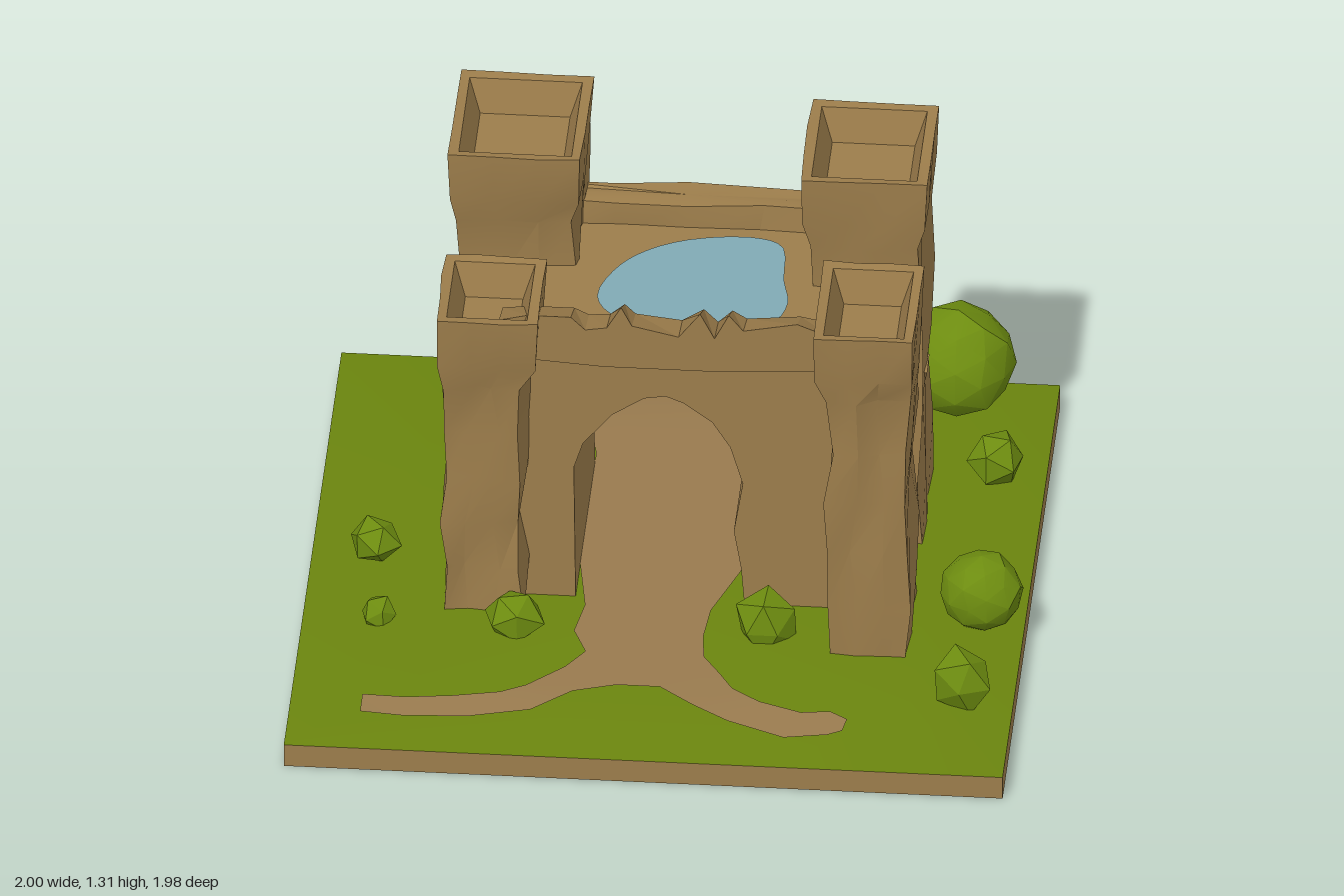
import * as THREE from 'three';
import { toCreasedNormals } from 'three/addons/utils/BufferGeometryUtils.js';

const mat = (name, color) => {
  const m = new THREE.MeshStandardMaterial({ color });
  m.name = name;
  return m;
};

// Repeatable noise in -1..1
function noise(n) {
  const s = Math.sin(n * 127.1 + 11.7) * 43758.5453;
  return (s - Math.floor(s)) * 2 - 1;
}

function meshFrom(positions, index) {
  const g = new THREE.BufferGeometry();
  g.setAttribute('position', new THREE.Float32BufferAttribute(positions, 3));
  g.setIndex(index);
  return toCreasedNormals(g, 0.45);
}

// Stack of rectangular rings [y, x0, x1, z0, z1, wobble], closed at the last ring
function loftRect(levels, seed = 1, n = 3) {
  const pos = [], idx = [], ring = 4 * n;
  levels.forEach(([y, x0, x1, z0, z1, w = 0], j) => {
    const c = [[x0, z1], [x1, z1], [x1, z0], [x0, z0]];
    for (let s = 0; s < 4; s++) {
      const a = c[s], b = c[(s + 1) % 4];
      for (let k = 0; k < n; k++) {
        const t = k / n, id = seed * 91 + j * 31 + s * 7 + k;
        pos.push(a[0] + (b[0] - a[0]) * t + w * noise(id),
          y + w * 0.6 * noise(id + 500),
          a[1] + (b[1] - a[1]) * t + w * noise(id + 900));
      }
    }
  });
  for (let j = 0; j < levels.length - 1; j++) {
    for (let i = 0; i < ring; i++) {
      const a = j * ring + i, b = j * ring + (i + 1) % ring;
      idx.push(a, b, b + ring, a, b + ring, a + ring);
    }
  }
  const [y, x0, x1, z0, z1] = levels.at(-1);
  pos.push((x0 + x1) / 2, y, (z0 + z1) / 2);
  const base = (levels.length - 1) * ring;
  for (let i = 0; i < ring; i++) idx.push(base + i, base + (i + 1) % ring, base + ring);
  return meshFrom(pos, idx);
}

const groundY = (x, z) =>
  0.07 + 0.03 * Math.max(0, Math.min(1, (1 - Math.abs(x)) / 0.28, (0.98 - Math.abs(z)) / 0.26));

// Strip of ground between pairs of edge points [xa, za, xb, zb]
function ribbon(rows) {
  const pos = [], idx = [];
  rows.forEach(([xa, za, xb, zb], i) => {
    pos.push(xa, groundY(xa, za) + 0.006, za, xb, groundY(xb, zb) + 0.006, zb);
    if (i) idx.push(2 * i - 2, 2 * i, 2 * i - 1, 2 * i - 1, 2 * i, 2 * i + 1);
  });
  return meshFrom(pos, idx);
}

export function createModel() {
  const root = new THREE.Group();
  const stone = mat('stone', 0x9c7d4b);
  const grass = mat('grass', 0x6a840e);
  const dirt = mat('path', 0x987a4e);
  dirt.side = THREE.DoubleSide;
  const leaf = mat('bush', 0x6d8c10);
  const water = mat('water', 0x80a9b4);
  const add = (name, geometry, material, parent = root) => {
    const m = new THREE.Mesh(geometry, material);
    m.name = name;
    parent.add(m);
    return m;
  };

  // Slab with a gently raised lawn
  add('baseSlab', new THREE.BoxGeometry(2, 0.07, 1.96).translate(0, 0.035, 0), stone);
  add('lawn', loftRect([[0.07, -1, 1, -0.98, 0.98], [0.1, -0.72, 0.72, -0.72, 0.72]]), grass);

  // Path through the gate, forking at the front
  add('mainPath', ribbon([
    [-0.2, -0.98, 0.13, -0.98], [-0.26, -0.9, 0.17, -0.9], [-0.24, -0.8, 0.17, -0.8],
    [-0.25, -0.72, 0.15, -0.72], [-0.27, -0.6, 0.16, -0.6], [-0.25, -0.48, 0.21, -0.48],
    [-0.26, 0, 0.22, 0], [-0.22, 0.27, 0.13, 0.27], [-0.24, 0.4, 0.12, 0.4],
    [-0.2, 0.5, 0.13, 0.5], [-0.25, 0.58, 0.18, 0.58], [-0.1, 0.66, 0.02, 0.66]]), dirt);
  add('leftFork', ribbon([
    [0.18, 0.58, 0.02, 0.66], [0.22, 0.65, 0.12, 0.74], [0.3, 0.71, 0.22, 0.8],
    [0.42, 0.75, 0.38, 0.86], [0.5, 0.74, 0.5, 0.84], [0.55, 0.77, 0.54, 0.82]]), dirt);
  add('rightFork', ribbon([
    [-0.25, 0.58, -0.1, 0.66], [-0.35, 0.68, -0.22, 0.7], [-0.42, 0.72, -0.33, 0.79],
    [-0.55, 0.745, -0.5, 0.83], [-0.68, 0.76, -0.68, 0.84], [-0.8, 0.75, -0.8, 0.83]]), dirt);
  for (const s of [-1, 1]) {
    add('sideDirt', ribbon([[s * 0.4, -0.12, s * 0.5, -0.1],
      [s * 0.4, -0.05, s * 0.54, -0.06], [s * 0.4, 0.02, s * 0.49, 0.01]]), dirt);
  }

  // Gatehouse with an arched tunnel
  const castle = new THREE.Group();
  castle.name = 'castle';
  root.add(castle);
  const gate = new THREE.Shape([
    [-0.49, 0.09], [-0.25, 0.09], [-0.255, 0.53], [-0.23, 0.61], [-0.15, 0.71], [-0.06, 0.77],
    [0, 0.78], [0.05, 0.76], [0.13, 0.7], [0.18, 0.62], [0.215, 0.5], [0.19, 0.34], [0.21, 0.22],
    [0.22, 0.09], [0.48, 0.09], [0.47, 0.5], [0.45, 0.94], [-0.46, 0.94]
  ].map(p => new THREE.Vector2(...p)));
  add('gatehouse', new THREE.ExtrudeGeometry(gate, { depth: 0.66, bevelEnabled: false })
    .translate(0, 0, -0.44), stone, castle);

  // Crumbling front parapet, lower on the inside
  const jag = new THREE.Shape([
    [-0.46, 0.92], [-0.17, 0.9], [0.15, 0.9], [0.47, 0.92], [0.47, 1.03], [0.37, 1.07],
    [0.22, 1.04], [0.18, 1.09], [0.14, 1.01], [0.1, 1.09], [0.04, 1.01], [-0.09, 1.04],
    [-0.12, 1.1], [-0.16, 1.03], [-0.22, 1.02], [-0.26, 1.06], [-0.38, 1.06], [-0.46, 1.04]
  ].map(p => new THREE.Vector2(...p)));
  const front = new THREE.ExtrudeGeometry(jag, { depth: 0.13, bevelEnabled: false }).translate(0, 0, 0.135);
  const fp = front.attributes.position;
  for (let i = 0; i < fp.count; i++) {
    if (fp.getZ(i) < 0.2 && fp.getY(i) > 0.95) fp.setY(i, 0.95 + (fp.getY(i) - 0.95) * 0.5);
  }
  front.computeVertexNormals();
  add('frontParapet', front, stone, castle);

  // Sagging back parapet
  add('backParapet', loftRect([
    [0.86, -0.4, 0.42, -0.44, -0.4], [0.91, -0.4, 0.42, -0.49, -0.38, 0.008],
    [1.01, -0.4, 0.42, -0.49, -0.4, 0.01]], 4, 4), stone, castle);

  // Corner towers: footprint, crown footprint, crown foot and top heights
  const towers = [
    ['frontLeftTower', [0.475, 0.69, 0.12, 0.45], [0.43, 0.71, 0.085, 0.475], 1.02, 1.165],
    ['frontRightTower', [-0.61, -0.39, 0.02, 0.31], [-0.63, -0.35, 0.0, 0.335], 0.92, 1.075],
    ['backLeftTower', [0.39, 0.685, -0.49, -0.12], [0.35, 0.7, -0.5, -0.095], 1.16, 1.31],
    ['backRightTower', [-0.61, -0.28, -0.54, -0.16], [-0.635, -0.265, -0.565, -0.14], 1.16, 1.31]
  ];
  towers.forEach(([name, shaft, crown, foot, top], t) => {
    const inset = (r, d) => [r[0] + d, r[1] - d, r[2] + d, r[3] - d];
    const levels = [];
    for (let k = 0; k < 6; k++) {
      levels.push([0.09 + (foot - 0.17) * k / 5, ...shaft, k ? 0.017 : 0.006]);
    }
    levels.push([foot, ...inset(crown, 0.005), 0.004], [top, ...crown, 0.004],
      [top - 0.004, ...inset(crown, 0.028)], [top - 0.1, ...inset(crown, 0.06)]);
    add(name, loftRect(levels, t + 2), stone, castle);
  });
  // Loose stone chip on the side of a tower
  const chip = add('stoneChip', new THREE.ConeGeometry(0.06, 0.11, 3).toNonIndexed(), stone, castle);
  chip.position.set(0.67, 0.53, -0.31);
  chip.rotation.set(0.2, 0.4, Math.PI);
  chip.scale.set(0.6, 1, 0.8);

  // Rooftop pool
  const pool = new THREE.Shape(new THREE.CatmullRomCurve3([
    [-0.21, -0.02], [-0.17, -0.16], [-0.1, -0.25], [0.02, -0.32], [0.2, -0.345], [0.28, -0.31],
    [0.3, -0.14], [0.32, -0.02], [0.28, 0.08], [0.15, 0.105], [-0.02, 0.1], [-0.16, 0.07]
  ].map(([x, z]) => new THREE.Vector3(x, -z, 0)), true).getPoints(40).map(p => new THREE.Vector2(p.x, p.y)));
  add('pool', new THREE.ShapeGeometry(pool).rotateX(-Math.PI / 2).translate(0, 0.944, 0), water, castle);

  // Bushes: x, centre height, z, radius, detail
  [
    [-0.57, 0.22, -0.85, 0.14, 1], [0.33, 0.2, -0.86, 0.12, 1], [0.73, 0.24, -0.83, 0.16, 1],
    [0.88, 0.18, 0.22, 0.115, 1], [0.86, 0.15, 0.62, 0.088, 0], [-0.41, 0.13, 0.38, 0.085, 0],
    [0.29, 0.13, 0.35, 0.09, 0], [0.86, 0.14, -0.5, 0.08, 0], [-0.34, 0.13, -0.82, 0.06, 0],
    [-0.82, 0.15, 0.06, 0.07, 0], [-0.79, 0.11, 0.36, 0.05, 0]
  ].forEach(([x, y, z, r, detail], b) => {
    const g = new THREE.IcosahedronGeometry(r, detail);
    const p = g.attributes.position, v = new THREE.Vector3();
    for (let i = 0; i < p.count; i++) {
      v.fromBufferAttribute(p, i);
      const key = Math.round(v.x / r * 50) + Math.round(v.y / r * 50) * 3.3 + Math.round(v.z / r * 50) * 7.7;
      v.multiplyScalar(1 + (detail ? 0.05 : 0.16) * noise(key + b));
      p.setXYZ(i, v.x, v.y, v.z);
    }
    const bush = add('bush', toCreasedNormals(g, detail ? 0.5 : 0.1), leaf);
    bush.position.set(x, y, z);
    bush.rotation.y = b * 1.3;
  });
  return root;
}
